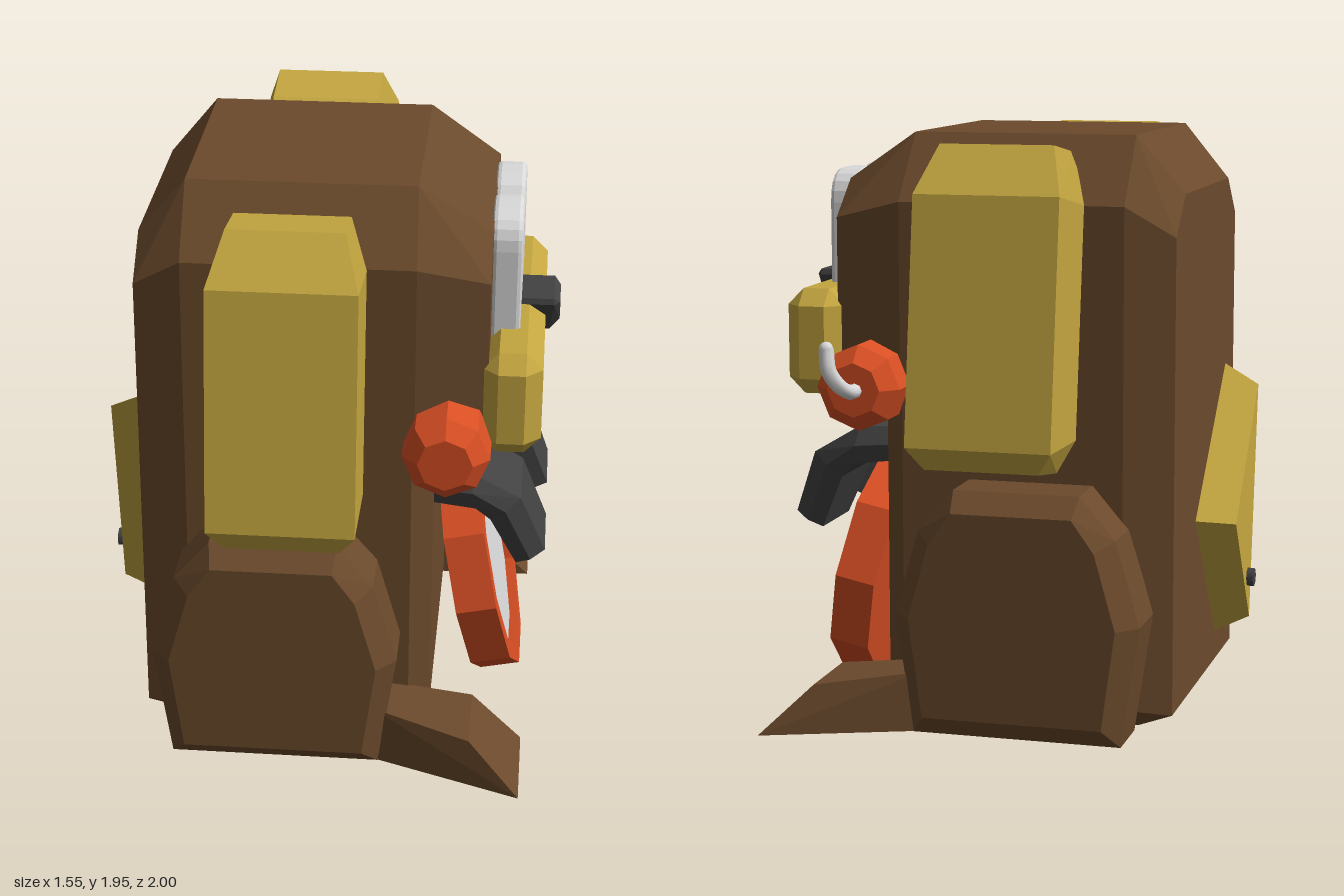
import * as THREE from 'three';
import { ConvexGeometry } from 'three/addons/geometries/ConvexGeometry.js';

const paint = (name, color) => {
  const m = new THREE.MeshStandardMaterial({ color });
  m.name = name;
  return m;
};

export function createModel() {
  const model = new THREE.Group();
  model.name = 'dogBackpack';
  const brown = paint('brown', 0x6b4a2c);
  const yellow = paint('yellow', 0xc4a640);
  const red = paint('red', 0xd94f24);
  const dark = paint('charcoal', 0x424242);
  const white = paint('white', 0xdadada);

  const add = (name, geometry, material) => {
    const mesh = new THREE.Mesh(geometry, material);
    mesh.name = name;
    model.add(mesh);
    return mesh;
  };
  const vec = (p) => new THREE.Vector3(...p);
  const flip = (pts) => pts.map(([x, y, z]) => [x, y, -z]);
  // faceted solid from its corner points
  const hull = (name, pts, material) => add(name, new ConvexGeometry(pts.map(vec)), material);
  // solid symmetric about z = 0
  const symmetric = (name, pts, material) => hull(name, [...pts, ...flip(pts)], material);
  // one solid on each side
  const pair = (name, pts, material) => {
    hull(name + 'Left', flip(pts), material);
    hull(name + 'Right', pts, material);
  };
  // corners of a box with chamfered edges
  const chamferBox = (min, max, c) => {
    const pts = [];
    for (let full = 0; full < 3; full++) {
      for (let k = 0; k < 8; k++) {
        pts.push([0, 1, 2].map((a) => {
          const inset = a === full ? 0 : c;
          return (k >> a) & 1 ? max[a] - inset : min[a] + inset;
        }));
      }
    }
    return pts;
  };

  // Body and head
  symmetric('lowerBody', [
    [-0.48, 0, 0.48], [0.32, 0, 0.48],
    [-0.6, 0.05, 0.51], [-0.44, 0.07, 0.56], [0.31, 0.07, 0.56], [0.38, 0.07, 0.5],
    [-0.6, 1.2, 0.51], [-0.44, 1.2, 0.56], [0.31, 1.2, 0.56], [0.38, 1.2, 0.5],
  ], brown);
  symmetric('head', [
    [-0.6, 1.1, 0.51], [-0.44, 1.1, 0.56], [0.317, 1.1, 0.56], [0.55, 1.1, 0.505],
    [-0.6, 1.63, 0.51], [-0.44, 1.73, 0.56], [0.317, 1.73, 0.56], [0.55, 1.67, 0.505],
    [-0.6, 1.76, 0.37], [-0.44, 1.95, 0.39], [0.31, 1.95, 0.39], [0.55, 1.79, 0.36],
  ], brown);

  // Haunches with a bevelled outer face, and wedge feet
  const haunch = [];
  for (const [x, y] of [[0.35, 0], [0.41, 0.4], [0.33, 0.68], [0.21, 0.82]]) {
    for (const s of [1, -1]) haunch.push([-0.13 + s * x, y, 0.54], [-0.13 + s * x, y, 0.74]);
  }
  for (const [x, y] of [[0.3, 0.07], [0.345, 0.4], [0.275, 0.65], [0.2, 0.755]]) {
    for (const s of [1, -1]) haunch.push([-0.13 + s * x, y, 0.81]);
  }
  pair('haunch', haunch, brown);
  pair('foot', [
    [0.2, 0, 0.55], [0.2, 0.2, 0.55], [0.2, 0, 0.73], [0.2, 0.2, 0.73],
    [0.53, 0.165, 0.56], [0.53, 0.165, 0.845], [0.7, 0, 0.56], [0.7, 0, 0.92],
  ], brown);

  // Floppy ears: z, y and chamfer of the width at each corner
  const earPoints = (profile) =>
    profile.flatMap(([z, y, c]) => [[-0.313 + c, y, z], [0.16 - c, y, z]]);
  pair('earRoot', earPoints([
    [0.45, 1.76, 0.05], [0.465, 1.84, 0.05], [0.555, 1.905, 0.05],
    [0.765, 1.935, 0.05], [0.893, 1.785, 0], [0.58, 1.735, 0],
  ]), yellow);
  pair('earFlap', earPoints([
    [0.58, 1.735, 0], [0.893, 1.785, 0], [1, 1, 0],
    [0.955, 0.925, 0.05], [0.73, 0.89, 0.05], [0.68, 0.99, 0],
  ]), yellow);

  // Muzzle, nose and tall eyes
  pair('muzzle', chamferBox([0.528, 1.075, 0], [0.727, 1.43, 0.555], 0.055), yellow);
  symmetric('nose', [
    [0.64, 1.45, 0.1], [0.64, 1.43, 0.105], [0.64, 1.3, 0.01],
    [0.755, 1.45, 0.1], [0.755, 1.43, 0.105], [0.74, 1.3, 0.01],
    [0.775, 1.43, 0.075], [0.775, 1.34, 0.01],
  ], dark);
  const eye = new THREE.Shape();
  eye.moveTo(-0.14, 0);
  eye.lineTo(0.14, 0);
  eye.lineTo(0.14, 0.3);
  eye.quadraticCurveTo(0.14, 0.4, 0.04, 0.4);
  eye.lineTo(-0.04, 0.4);
  eye.quadraticCurveTo(-0.14, 0.4, -0.14, 0.3);
  eye.closePath();
  for (const s of [1, -1]) {
    const mesh = add(s > 0 ? 'eyeRight' : 'eyeLeft', new THREE.ExtrudeGeometry(eye, {
      depth: 0.07, bevelEnabled: true, bevelThickness: 0.015, bevelSize: 0.015,
      bevelSegments: 2, curveSegments: 5,
    }), white);
    mesh.rotation.y = Math.PI / 2;
    mesh.position.set(0.56, 1.4, s * 0.155);
  }

  // Stick across the mouth with a curled fuse
  const stick = new THREE.LatheGeometry(
    [[0, -0.72], [0.09, -0.72], [0.143, -0.665], [0.143, 0.665], [0.09, 0.72], [0, 0.72]]
      .map(([r, y]) => new THREE.Vector2(r, y)), 8).toNonIndexed();
  stick.computeVertexNormals();
  stick.rotateX(Math.PI / 2);
  add('stick', stick, red).position.set(0.425, 1.127, 0);
  const fusePath = new THREE.CatmullRomCurve3([
    [0.42, 1.125, -0.7], [0.42, 1.13, -0.77], [0.435, 1.16, -0.83],
    [0.455, 1.21, -0.863], [0.465, 1.28, -0.858],
  ].map(vec));
  add('fuse', new THREE.TubeGeometry(fusePath, 16, 0.025, 8), white);
  const tip = add('fuseTip', new THREE.SphereGeometry(0.025, 8, 6), white);
  tip.position.set(0.465, 1.28, -0.858);

  // Bent front paws: top x, top y, bottom x, bottom y, inner z, outer z
  const pawStations = [
    [0.36, 0.965, 0.36, 0.85, 0.13, 0.47],
    [0.5, 0.96, 0.52, 0.83, 0.13, 0.47],
    [0.67, 0.86, 0.57, 0.78, 0.125, 0.45],
    [0.757, 0.64, 0.66, 0.59, 0.115, 0.4],
  ];
  const pawSection = ([tx, ty, bx, by, zi, zo]) =>
    [[tx, ty, zi], [tx, ty, zo - 0.03], [bx, by, zi], [bx, by, zo - 0.02],
      [(tx + bx) / 2, (ty + by) / 2, zo]];
  for (let i = 0; i < 3; i++) {
    pair('paw' + (i + 1), [...pawSection(pawStations[i]), ...pawSection(pawStations[i + 1])], dark);
  }

  // Tilted ten-sided bowl held against the belly
  const decagon = (r) => Array.from({ length: 10 }, (_, i) =>
    new THREE.Vector2(r * Math.cos(i * Math.PI / 5), r * Math.sin(i * Math.PI / 5)));
  const rim = new THREE.Shape(decagon(0.427));
  rim.holes.push(new THREE.Path(decagon(0.36)));
  const bowl = new THREE.Group();
  bowl.name = 'bowl';
  const addBowl = (name, shape, depth, z, material) => {
    const g = new THREE.ExtrudeGeometry(shape, { depth, bevelEnabled: false });
    g.translate(0, 0, z).rotateY(Math.PI / 2);
    const mesh = new THREE.Mesh(g, material);
    mesh.name = name;
    bowl.add(mesh);
  };
  addBowl('bowlRim', rim, 0.14, -0.14, red);
  addBowl('bowlBack', new THREE.Shape(decagon(0.36)), 0.08, -0.14, red);
  addBowl('bowlFace', new THREE.Shape(decagon(0.36)), 0.03, -0.06, white);
  bowl.rotation.z = THREE.MathUtils.degToRad(12);
  bowl.position.set(0.6, 0.432, 0);
  model.add(bowl);

  // Triangular tag and its stud on the back
  hull('tag', [
    [-0.618, 1.115, 0.265], [-0.618, 0.65, -0.24], [-0.635, 0.205, 0.03],
    [-0.742, 1.05, 0.235], [-0.75, 0.64, -0.205], [-0.757, 0.265, 0.03],
  ], yellow);
  const stud = add('stud', new THREE.CylinderGeometry(0.032, 0.032, 0.04, 8), dark);
  stud.rotation.z = Math.PI / 2;
  stud.position.set(-0.757, 0.41, 0.01);

  return model;
}
